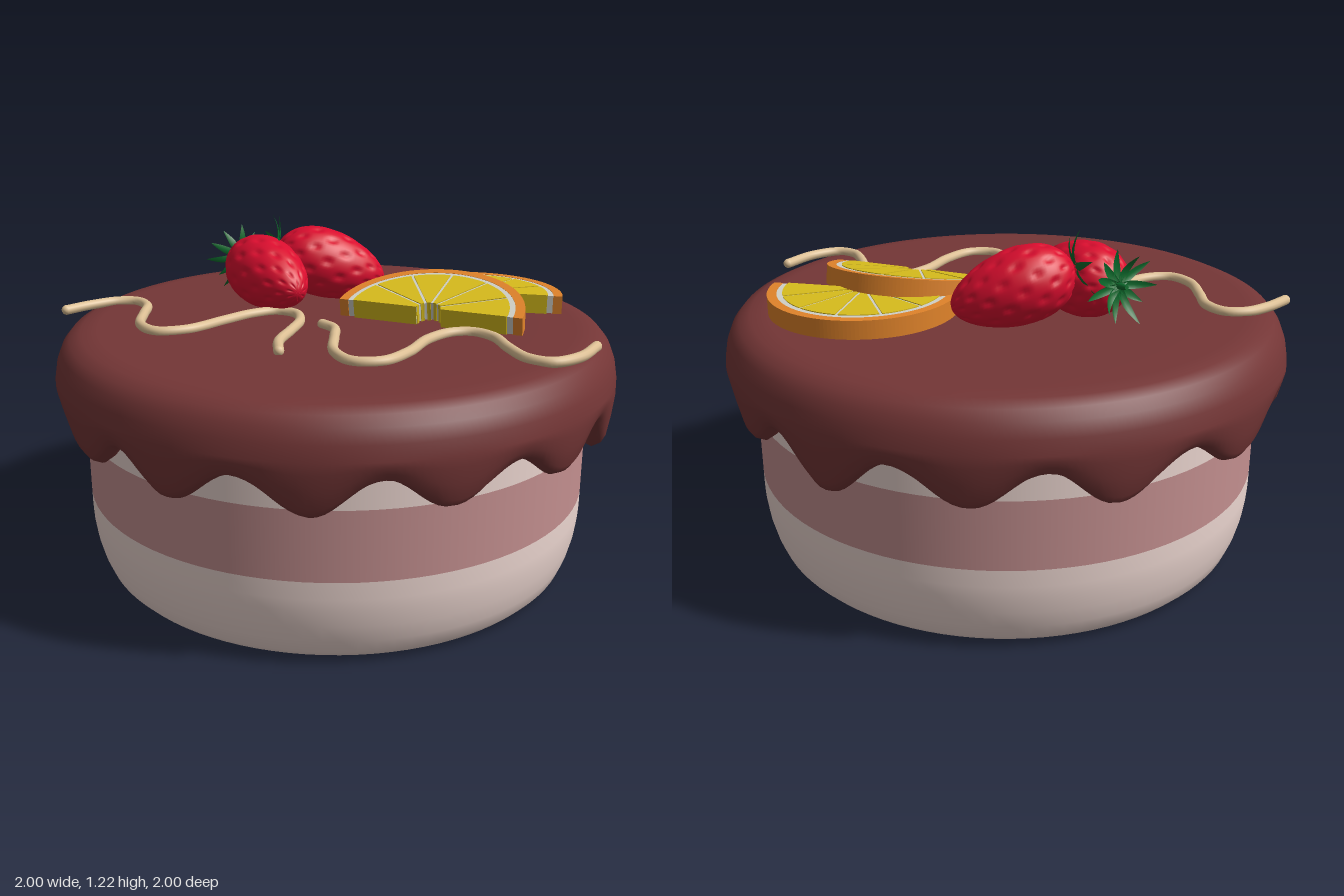
import * as THREE from 'three';
import { mergeVertices } from 'three/addons/utils/BufferGeometryUtils.js';

const mat = (color, side = THREE.FrontSide) => new THREE.MeshStandardMaterial({ color, side });
const cream = mat(0xecd6d0), pink = mat(0xc38f8f), icingMat = mat(0x743636);
const pipingMat = mat(0xdcbf94), red = mat(0xd90d2e), green = mat(0x0c6b2c, THREE.DoubleSide);
const rindMat = mat(0xe0832a), pithMat = mat(0xd0d0c8), fleshMat = mat(0xd8bc1c);

function add(parent, name, geometry, material) {
  const mesh = new THREE.Mesh(geometry, material);
  mesh.name = name;
  parent.add(mesh);
  return mesh;
}

const lathe = (pts, segs) => new THREE.LatheGeometry(pts.map(p => new THREE.Vector2(...p)), segs);

// Weld the seam and recompute normals after vertices were moved
function smooth(geometry) {
  geometry.deleteAttribute('normal');
  geometry.deleteAttribute('uv');
  const g = mergeVertices(geometry, 1e-5);
  g.computeVertexNormals();
  return g;
}

// Drip tips around the rim: [angle from the front in degrees, height]
const drips = [[-74, 0.5], [-34, 0.55], [-11, 0.54], [17, 0.54], [43, 0.55], [70, 0.55], [95, 0.5],
  [117, 0.55], [141, 0.55], [166, 0.51], [195, 0.54], [222, 0.53], [252, 0.54], [286, 0.5]];

function icingEdge(angle) {
  let a = THREE.MathUtils.radToDeg(angle);
  while (a < -74) a += 360;
  while (a >= 286) a -= 360;
  const i = Math.max(0, drips.findIndex((d, k) => k < drips.length - 1 && a >= d[0] && a <= drips[k + 1][0]));
  const [a0, y0] = drips[i], [a1, y1] = drips[i + 1];
  const t = (a - a0) / (a1 - a0), wave = Math.sin(Math.PI * t) ** 2;
  return THREE.MathUtils.lerp(y0, y1, t) * (1 - wave) + 0.66 * wave;
}

// Icing: lathe whose skirt is pulled down to the dripping edge
function icingGeometry() {
  // [radius, share of the way from rim (0) to drip edge (1), height above the rim]
  const rim = 0.74;
  const profile = [[0.895, 0.8, 0.02], [0.905, 1, 0.012], [0.935, 1, 0], [0.965, 0.96, 0.008], [0.98, 0.8, 0],
    [0.992, 0.5, 0], [1, 0.2, 0], [0.999, 0, 0], [0.99, 0, 0.05], [0.972, 0, 0.095], [0.945, 0, 0.127],
    [0.905, 0, 0.145], [0.85, 0, 0.152], [0.6, 0, 0.152], [0, 0, 0.152]];
  const g = lathe(profile.map(p => [p[0], rim + p[2] - p[1] * 0.1]), 240);
  const pos = g.attributes.position;
  for (let i = 0; i < pos.count; i++) {
    const [, share, lift] = profile[i % profile.length];
    const edge = icingEdge(Math.atan2(pos.getX(i), pos.getZ(i)));
    pos.setY(i, rim + lift + (edge - rim) * share);
  }
  return smooth(g);
}

// Piped squiggle with rounded ends, points given as [x, z]
function piping(parent, name, pts) {
  const group = new THREE.Group();
  group.name = name;
  const path = pts.map(([x, z]) => new THREE.Vector3(x, 0.902, z));
  add(group, 'pipedStrand', new THREE.TubeGeometry(new THREE.CatmullRomCurve3(path), 140, 0.018, 12), pipingMat);
  for (const end of [path[0], path[path.length - 1]])
    add(group, 'strandEnd', new THREE.SphereGeometry(0.018, 12, 8), pipingMat).position.copy(end);
  parent.add(group);
}

// Strawberry body: tip at -y, calyx at +y, with staggered dimples
function berryGeometry(len, rad) {
  const rows = 56, pts = [];
  for (let i = 0; i <= rows; i++) {
    const a = Math.PI * i / rows;
    pts.push([i % rows ? rad * Math.sin(a) * (0.94 - 0.17 * Math.cos(a)) : 0, -len / 2 * Math.cos(a)]);
  }
  const g = lathe(pts, 96), pos = g.attributes.position;
  for (let i = 0; i < pos.count; i++) {
    const v = (i % (rows + 1)) / rows, th = Math.atan2(pos.getX(i), pos.getZ(i));
    const dimple = Math.max(0, Math.cos(9 * th) * Math.cos(11 * Math.PI * v)) ** 2;
    const k = 1 - 0.06 * dimple * Math.sin(Math.PI * v);
    pos.setXYZ(i, pos.getX(i) * k, pos.getY(i) * k, pos.getZ(i) * k);
  }
  return smooth(g);
}

// Pointed leaf growing along +x and curling up
function leafGeometry(len, width, curl) {
  const g = new THREE.PlaneGeometry(1, 1, 8, 2), pos = g.attributes.position;
  for (let i = 0; i < pos.count; i++) {
    const s = pos.getX(i) + 0.5, w = pos.getY(i);
    const half = width * (0.35 + 1.6 * s) * (1 - s);
    pos.setXYZ(i, len * s, -0.035 * s + curl * s * s + Math.abs(w) * 0.02 * (1 - s), w * 2 * half);
  }
  g.computeVertexNormals();
  return g;
}

function strawberry(parent, name, center, tipDir) {
  const len = 0.43, group = new THREE.Group();
  group.name = name;
  add(group, 'berry', berryGeometry(len, 0.137), red);
  const calyx = new THREE.Group();
  calyx.name = 'calyx';
  calyx.position.y = len / 2 + 0.004;
  for (let i = 0; i < 11; i++) {
    const leaf = add(calyx, 'leaf', leafGeometry(0.11 + 0.03 * (i % 3) / 2, 0.024, 0.05 + 0.035 * (i % 2)), green);
    leaf.rotation.y = i * Math.PI * 2 / 11;
  }
  add(calyx, 'stem', new THREE.CylinderGeometry(0.008, 0.013, 0.05, 8), green).position.y = 0.02;
  group.add(calyx);
  group.position.set(...center);
  group.quaternion.setFromUnitVectors(new THREE.Vector3(0, 1, 0), new THREE.Vector3(...tipDir).normalize().negate());
  parent.add(group);
}

// Flat ring sector lying down, with straight sides held a fixed gap off the radii
function sector(ri, ro, a0, a1, gap, height, y) {
  const s = new THREE.Shape();
  s.absarc(0, 0, ro, a0 + gap / ro, a1 - gap / ro, false);
  s.absarc(0, 0, ri, a1 - gap / ri, a0 + gap / ri, true);
  s.closePath();
  const g = new THREE.ExtrudeGeometry(s, { depth: height, bevelEnabled: false, curveSegments: 40 });
  return g.rotateX(-Math.PI / 2).translate(0, y, 0);
}

function orangeSlice(parent, name, position, tilt, spin) {
  const slice = new THREE.Group(), n = 6;
  slice.name = name;
  add(slice, 'rind', sector(0.302, 0.335, 0, Math.PI, 0, 0.066, 0.002), rindMat);
  add(slice, 'pith', sector(0.045, 0.302, 0, Math.PI, 0.002, 0.064, 0.003), pithMat);
  for (let i = 0; i < n; i++) {
    const first = i === 0 ? -0.003 : 0, last = i === n - 1 ? 0.003 : 0;
    add(slice, 'fleshSegment', sector(0.043, 0.282, Math.PI * i / n + first, Math.PI * (i + 1) / n + last,
      0.005, 0.07, 0), fleshMat);
  }
  // Flesh showing on the straight cut, both sides of the core
  for (const side of [-1, 1])
    add(slice, 'cutFace', new THREE.BoxGeometry(0.236, 0.07, 0.008), fleshMat).position.set(side * 0.163, 0.035, -0.003);
  slice.position.set(...position);
  slice.rotation.set(tilt, spin, 0);
  parent.add(slice);
}

export function createModel() {
  const cake = new THREE.Group();
  cake.name = 'cake';

  // Sponge layers
  add(cake, 'bottomLayer', lathe([[0, 0], [0.79, 0], [0.81, 0.002], [0.835, 0.014], [0.86, 0.04], [0.88, 0.09],
    [0.895, 0.15], [0.903, 0.21], [0.905, 0.25], [0.905, 0.31]], 96), cream);
  add(cake, 'middleLayer', lathe([[0.905, 0.31], [0.905, 0.55]], 96), pink);
  add(cake, 'topLayer', lathe([[0.905, 0.55], [0.905, 0.8]], 96), cream);
  add(cake, 'icing', icingGeometry(), icingMat);

  // Piped decoration
  piping(cake, 'rightPiping', [[-0.945, 0.3], [-0.9, 0.2], [-0.84, 0.12], [-0.77, 0.095], [-0.7, 0.14], [-0.65, 0.25],
    [-0.59, 0.37], [-0.5, 0.425], [-0.41, 0.37], [-0.34, 0.21], [-0.29, 0.1], [-0.22, 0.03], [-0.14, 0.04],
    [-0.09, 0.12], [-0.07, 0.25], [-0.055, 0.38], [-0.01, 0.48]]);
  piping(cake, 'leftPiping', [[0, 0.13], [0.06, 0.17], [0.1, 0.27], [0.16, 0.42], [0.25, 0.495], [0.34, 0.46],
    [0.385, 0.34], [0.4, 0.18], [0.45, 0.07], [0.52, 0.035], [0.6, 0.07], [0.68, 0.18], [0.76, 0.265], [0.84, 0.275],
    [0.91, 0.19], [0.94, 0.05]]);

  // Fruit
  strawberry(cake, 'frontStrawberry', [-0.29, 1.015, -0.055], [0.8, -0.12, 0.58]);
  strawberry(cake, 'backStrawberry', [-0.13, 1.02, -0.27], [0.85, -0.3, -0.42]);
  orangeSlice(cake, 'frontOrangeSlice', [0.345, 0.893, -0.015], 0.2, -0.02);
  orangeSlice(cake, 'backOrangeSlice', [0.42, 0.892, -0.285], -0.01, 0.16);
  return cake;
}
